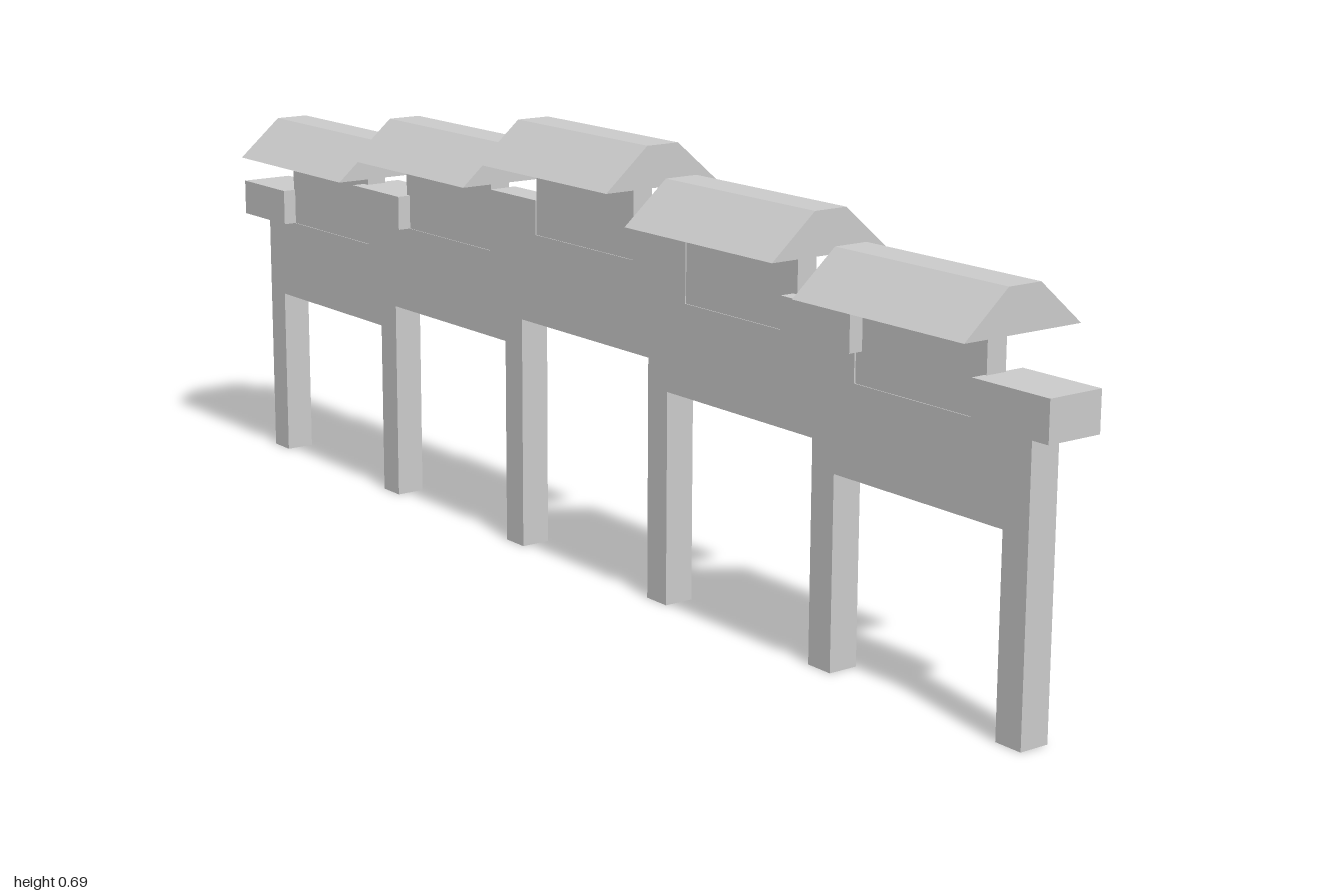
import * as THREE from 'three';

const material = new THREE.MeshStandardMaterial({ color: 0xcccccc, flatShading: true });

export function createModel() {
  const model = new THREE.Group();

  const add = (name, geometry, x = 0, y = 0, z = 0) => {
    const mesh = new THREE.Mesh(geometry, material);
    mesh.name = name;
    mesh.position.set(x, y, z);
    model.add(mesh);
  };
  // Box from its x, y and z limits
  const box = (name, x0, x1, y0, y1, z0, z1) => add(name,
    new THREE.BoxGeometry(Math.abs(x1 - x0), y1 - y0, z1 - z0),
    (x0 + x1) / 2, (y0 + y1) / 2, (z0 + z1) / 2);
  const extrude = (points, depth) => {
    const shape = new THREE.Shape(points.map(([a, b]) => new THREE.Vector2(a, b)));
    return new THREE.ExtrudeGeometry(shape, { depth, bevelEnabled: false }).translate(0, 0, -depth / 2);
  };

  // Gateway wall with six legs, stepped up towards the middle
  const half = [
    [0.163, 0.37], [0.163, 0], [0.209, 0], [0.209, 0.327],
    [0.534, 0.327], [0.534, 0], [0.58, 0], [0.58, 0.286],
    [0.905, 0.286], [0.905, 0], [0.951, 0], [0.951, 0.42],
    [0.617, 0.42], [0.617, 0.466], [0.25, 0.466], [0.25, 0.564],
    [0.125, 0.564], [0.125, 0.51],
  ];
  const mirrored = half.map(([x, y]) => [-x, y]).reverse();
  add('wallAndLegs', extrude([...half, ...mirrored], 0.048));

  // Roof with sloping sides and a flat ridge
  const roofSection = [[-0.102, 0], [0.102, 0], [0.028, 0.063], [-0.028, 0.063]];
  const roofGeometry = extrude(roofSection, 0.328).rotateY(Math.PI / 2);

  // Bays: centre, roof base height, panel base height
  const bays = [[0, 0.622, 0.51], [0.372, 0.58, 0.466], [0.742, 0.538, 0.42]];
  for (const [x, roofY, panelY] of bays) {
    for (const side of x ? [-1, 1] : [1]) {
      const cx = side * x;
      add('roof', roofGeometry, cx, roofY);
      box('roofPanel', cx - 0.124, cx + 0.124, panelY, roofY, -0.011, 0.0225);
    }
  }

  // Bracket blocks between the lower roofs and at both ends
  for (const side of [-1, 1]) {
    box('innerBlock', side * 0.487, side * 0.63, 0.466, 0.521, -0.045, 0.045);
    box('endBlock', side * 0.862, side, 0.42, 0.479, -0.045, 0.045);
  }

  return model;
}
